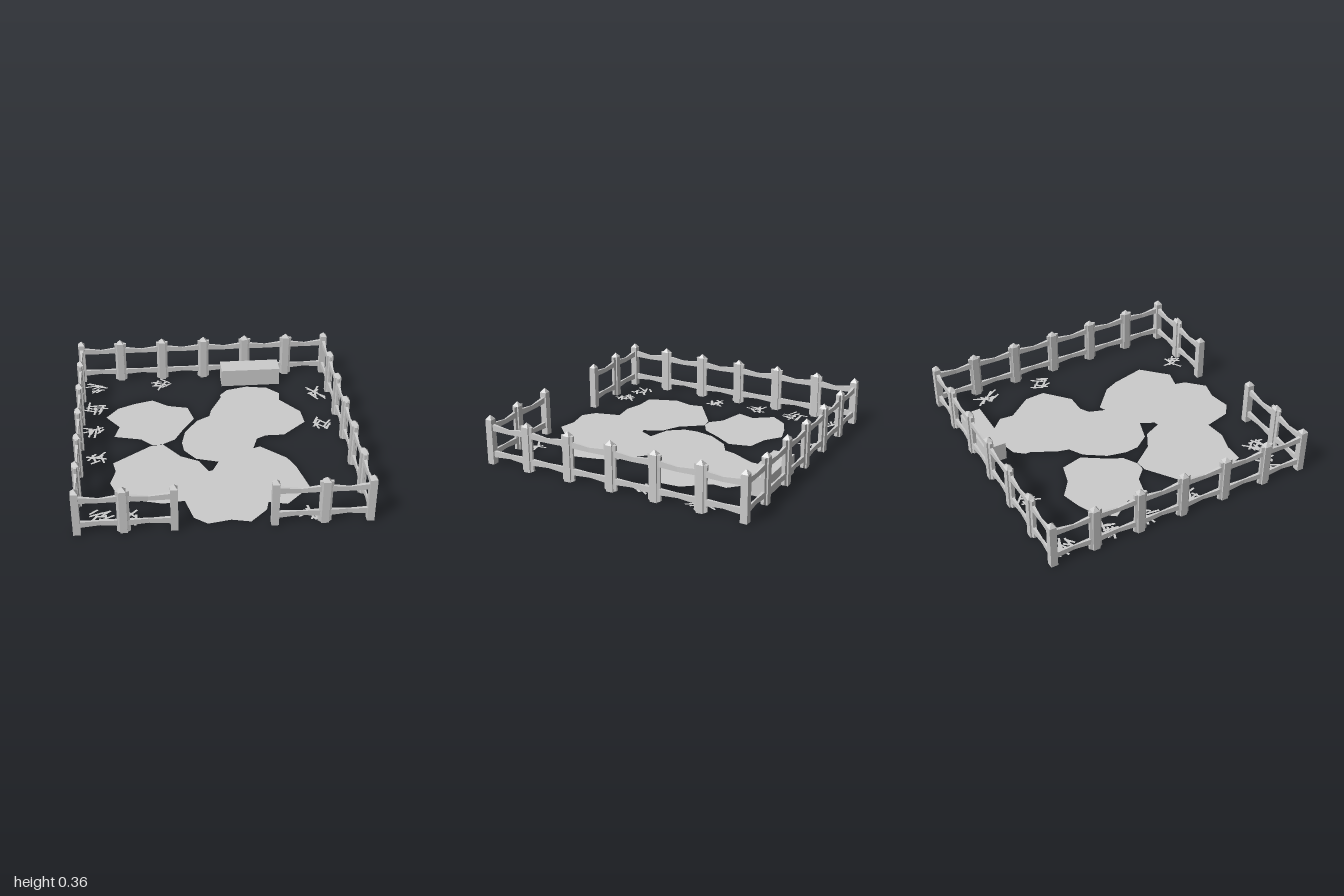
import * as THREE from 'three';
import { mergeGeometries } from 'three/addons/utils/BufferGeometryUtils.js';

const stone = new THREE.MeshStandardMaterial({ color: 0xcccccc });
stone.name = 'pale grey';
const flat = new THREE.MeshStandardMaterial({ color: 0xcccccc, side: THREE.DoubleSide });
flat.name = 'pale grey ground';

const EDGE = 0.975, POST = 0.05, SHOULDER = 0.33, PEAK = 0.362;
const STOPS = [-EDGE, -0.667, -0.333, 0, 0.333, 0.667, EDGE];

function named(name, geometry, material = stone) {
  const mesh = new THREE.Mesh(geometry, material);
  mesh.name = name;
  return mesh;
}

function reshape(geometry, rule) {
  const p = geometry.attributes.position;
  const v = new THREE.Vector3();
  for (let i = 0; i < p.count; i++) {
    rule(v.fromBufferAttribute(p, i));
    p.setXYZ(i, v.x, v.y, v.z);
  }
  const result = geometry.toNonIndexed();
  result.computeVertexNormals();
  return result;
}

function seeded(seed) {
  return () => {
    seed = (seed * 16807) % 2147483647;
    return seed / 2147483647;
  };
}

// Square post with a pyramid tip
function postGeometry() {
  const shaft = new THREE.BoxGeometry(POST, SHOULDER, POST).translate(0, SHOULDER / 2, 0).toNonIndexed();
  const tip = new THREE.ConeGeometry(POST * Math.SQRT1_2, PEAK - SHOULDER, 4, 1, true)
    .rotateY(Math.PI / 4).translate(0, (PEAK + SHOULDER) / 2, 0);
  return mergeGeometries([shaft, reshape(tip, () => {})]);
}

// Rough narrow stake against the side of a post, pinched at its middle
function stakeGeometry(side) {
  const g = new THREE.BoxGeometry(0.024, 0.33, 0.03, 1, 3, 1).translate(0.012, 0.165, 0);
  const out = reshape(g, v => {
    const middle = v.y > 0.06 && v.y < 0.27;
    if (v.x > 0.01) { v.x *= middle ? 0.8 : 1; v.z *= 0.55; }
    if (v.y < 0.01 && v.x > 0.01) v.y = 0.01;
    v.x += POST / 2 - 0.002;
  });
  return side > 0 ? out : out.rotateY(Math.PI);
}

// Rail that is thick at its ends and thin and bowed in the middle
function railGeometry(x0, x1, y, bow) {
  const length = x1 - x0;
  const g = new THREE.BoxGeometry(length, 0.046, 0.026, 4, 1, 1);
  return reshape(g, v => {
    const t = 1 - Math.abs(v.x) / (length / 2);
    v.y = y + v.y * (1 - 0.26 * t) + bow * t;
    v.z *= 1 - 0.6 * t;
    v.x += (x0 + x1) / 2;
  });
}

// One straight side of the fence; openAt is the index of a missing middle post
function fenceSide(name, openAt, skipCorners) {
  const side = new THREE.Group();
  side.name = name;
  STOPS.forEach((x, i) => {
    if (i === openAt) return;
    const corner = i === 0 || i === 6;
    const gateEnd = openAt >= 0 && Math.abs(i - openAt) === 1;
    if (!(corner && skipCorners)) {
      const post = named('post', postGeometry());
      post.position.x = x;
      side.add(post);
    }
    if (!corner && !gateEnd) {
      for (const s of [-1, 1]) {
        const stake = named('sideStake', stakeGeometry(s));
        stake.position.x = x;
        side.add(stake);
      }
    }
    if (i < 6 && i + 1 !== openAt) {
      side.add(named('upperRail', railGeometry(x, STOPS[i + 1], 0.274, -0.014)));
      side.add(named('lowerRail', railGeometry(x, STOPS[i + 1], 0.074, 0.004)));
    }
  });
  return side;
}

// Flat irregular patch on the ground, outlined by x, z pairs
function patch(name, outline) {
  const points = [];
  for (let i = 0; i < outline.length; i += 2) points.push(new THREE.Vector2(outline[i], -outline[i + 1]));
  const g = new THREE.ShapeGeometry(new THREE.Shape(points)).rotateX(-Math.PI / 2);
  const mesh = named(name, g, flat);
  mesh.position.y = 0.003;
  return mesh;
}

// Scattered straw: a loose fan of flat strips
function straw(x, z, index) {
  const random = seeded(911 + index * 7717);
  const heading = random() * Math.PI;
  const strips = [];
  for (let i = 0; i < 9; i++) {
    const length = 0.07 + random() * 0.05;
    strips.push(new THREE.PlaneGeometry(length, 0.016)
      .rotateX(-Math.PI / 2)
      .rotateY(heading + (random() - 0.5) * 2.4)
      .translate((random() - 0.5) * 0.1, 0.002 + i * 0.0008, (random() - 0.5) * 0.11));
  }
  const mesh = named('straw', mergeGeometries(strips), flat);
  mesh.position.set(x, 0, z);
  return mesh;
}

export function createModel() {
  const model = new THREE.Group();
  model.name = 'fencedPen';

  // Fence: back, front with a gateway, and both sides
  const back = fenceSide('backFence', -1, false);
  back.position.z = -EDGE;
  const front = fenceSide('frontFence', 3, false);
  front.position.z = EDGE;
  model.add(back, front);
  for (const s of [-1, 1]) {
    const side = fenceSide(s > 0 ? 'leftFence' : 'rightFence', -1, true);
    side.rotation.y = Math.PI / 2;
    side.position.x = s * EDGE;
    model.add(side);
  }

  // Trough block by the back fence
  const trough = named('trough', new THREE.BoxGeometry(0.465, 0.14, 0.155));
  trough.position.set(0.367, 0.07, -0.874);
  model.add(trough);

  // Mud patches
  model.add(patch('smallMudPatch', [
    -0.43, -0.62, -0.31, -0.53, -0.16, -0.49, -0.12, -0.33, -0.21, -0.19, -0.28, -0.06, -0.38, 0,
    -0.45, 0, -0.53, -0.08, -0.73, -0.13, -0.69, -0.26, -0.79, -0.4, -0.7, -0.52, -0.57, -0.58,
  ]));
  model.add(patch('largeMudPatch', [
    0.33, -0.77, 0.49, -0.74, 0.58, -0.65, 0.57, -0.55, 0.71, -0.37, 0.72, -0.22, 0.54, -0.06,
    0.4, -0.06, 0.33, -0.02, 0.29, 0.1, 0.34, 0.08, 0.52, 0.24, 0.57, 0.35, 0.63, 0.6,
    0.45, 0.78, 0.32, 0.75, 0.3, 0.83, 0.18, 0.95, 0.05, 0.92, -0.11, 0.95, -0.2, 0.88,
    -0.25, 0.69, -0.4, 0.71, -0.54, 0.67, -0.68, 0.67, -0.76, 0.45, -0.72, 0.31, -0.74, 0.21,
    -0.46, 0.01, -0.37, 0, -0.25, 0.16, -0.12, 0.23, -0.06, 0.36, -0.03, 0.35, 0.02, 0.25,
    -0.14, 0.2, -0.22, 0.09, -0.23, -0.01, -0.2, -0.15, -0.1, -0.3, 0, -0.36, 0.02, -0.44,
    0.11, -0.62, 0.11, -0.66, 0.17, -0.73,
  ]));

  // Straw around the edges
  const places = [
    [-0.87, -0.84], [-0.34, -0.86], [-0.88, -0.53], [-0.88, -0.21], [-0.86, 0.15],
    [-0.82, 0.82], [-0.63, 0.85], [0.59, 0.87], [0.85, -0.19], [0.87, -0.63],
  ];
  places.forEach(([x, z], i) => model.add(straw(x, z, i)));

  return model;
}
